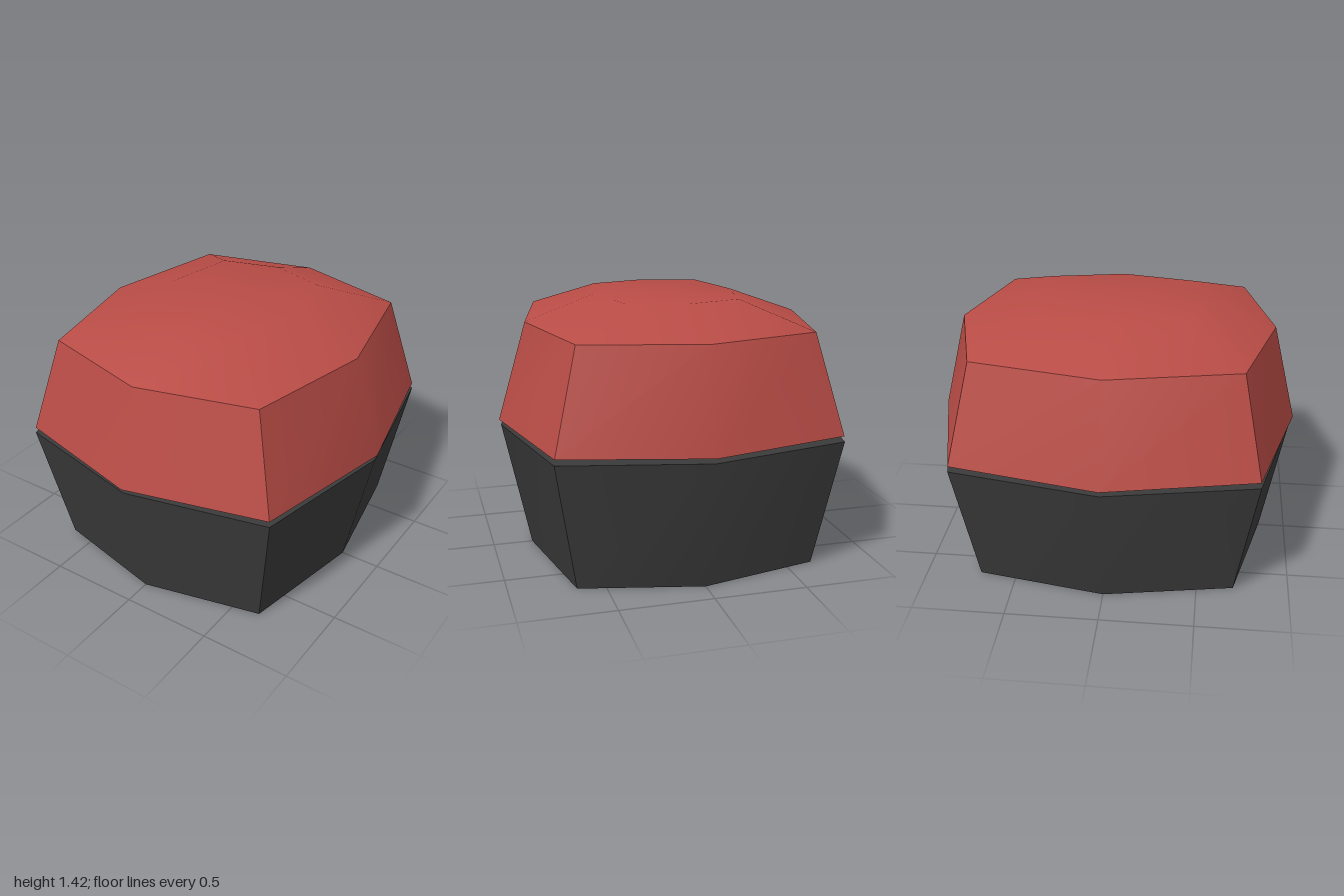
import * as THREE from 'three';
import { toCreasedNormals } from 'three/addons/utils/BufferGeometryUtils.js';

// Eight-sided ring: mx, mz are the side midpoints, cx, cz the corners
function ring(y, mx, mz, cx, cz) {
  return [[0, mz], [cx, cz], [mx, 0], [cx, -cz], [0, -mz], [-cx, -cz], [-mx, 0], [-cx, cz]]
    .map(([x, z]) => new THREE.Vector3(x, y, z));
}

// Closed solid lofted through rings from bottom to top, smooth except at sharp edges
function loft(rings) {
  const pos = [];
  const tri = (...pts) => pts.forEach((p) => pos.push(p.x, p.y, p.z));
  const first = rings[0];
  const last = rings[rings.length - 1];
  const bottom = new THREE.Vector3(0, first[0].y, 0);
  const top = new THREE.Vector3(0, last[0].y, 0);
  for (let i = 0; i < 8; i++) {
    const j = (i + 1) % 8;
    for (let k = 0; k < rings.length - 1; k++) {
      const lo = rings[k];
      const hi = rings[k + 1];
      tri(lo[i], lo[j], hi[j]);
      tri(lo[i], hi[j], hi[i]);
    }
    tri(bottom, first[j], first[i]);
    tri(top, last[i], last[j]);
  }
  const geo = new THREE.BufferGeometry();
  geo.setAttribute('position', new THREE.Float32BufferAttribute(pos, 3));
  return toCreasedNormals(geo, 0.6);
}

export function createModel() {
  const red = new THREE.MeshStandardMaterial({ name: 'red', color: 0xb94c46 });
  const charcoal = new THREE.MeshStandardMaterial({ name: 'charcoal', color: 0x3a3a3a });
  const group = new THREE.Group();

  // Base, flaring upward
  const base = new THREE.Mesh(loft([
    ring(0, 0.78, 0.85, 0.65, 0.7),
    ring(0.71, 0.93, 0.985, 0.768, 0.81),
  ]), charcoal);
  base.name = 'base';

  // Lid, tapering upward to a shallow domed top, with a thin gap below it
  const lid = new THREE.Mesh(loft([
    ring(0.74, 0.94, 1, 0.765, 0.808),
    ring(1.28, 0.78, 0.868, 0.63, 0.7),
    ring(1.42, 0.39, 0.49, 0.31, 0.4),
  ]), red);
  lid.name = 'lid';

  group.add(base, lid);
  return group;
}
